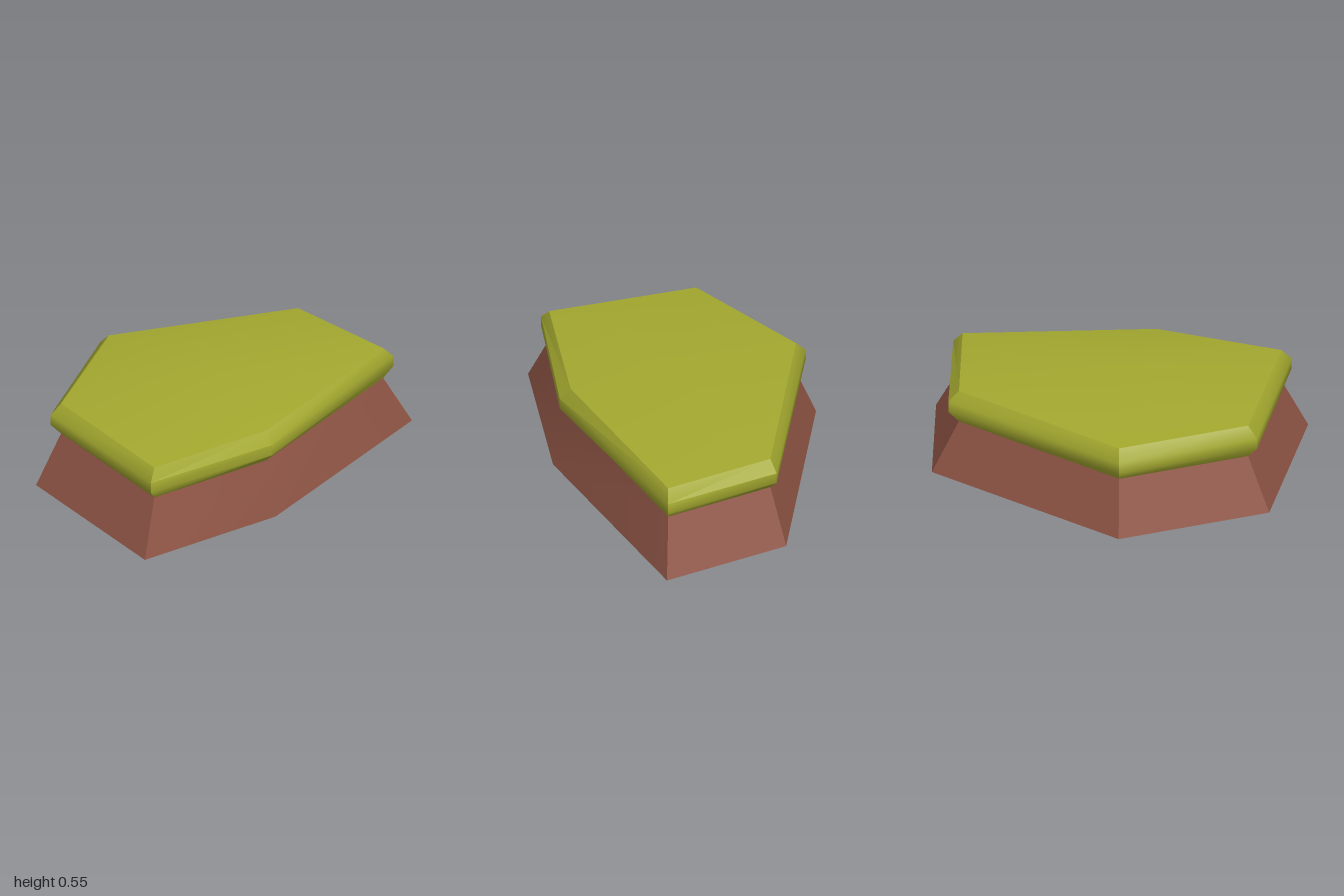
import * as THREE from 'three';
import { toCreasedNormals } from 'three/addons/utils/BufferGeometryUtils.js';

// Six-sided ground outline (x, z) and the centre it tapers towards
const outline = [[-1, -0.16], [-0.42, -0.73], [0.73, -0.53], [1, 0.09], [-0.02, 0.63], [-0.8, 0.725]];
const centre = [-0.09, 0];

// Lofts the outline through rings of [scale, radial offset, height]; scale 0 closes to a point
function loft(rings, crease) {
  const point = ([scale, out, y], i) => {
    const [x, z] = outline[i % outline.length];
    const dx = x - centre[0], dz = z - centre[1];
    const k = scale + out / Math.hypot(dx, dz);
    return [centre[0] + dx * k, y, centre[1] + dz * k];
  };
  const pos = [];
  for (let r = 0; r < rings.length - 1; r++) {
    for (let i = 0; i < outline.length; i++) {
      const a = point(rings[r], i), b = point(rings[r], i + 1);
      const c = point(rings[r + 1], i), d = point(rings[r + 1], i + 1);
      if (rings[r][0] > 0) pos.push(...a, ...c, ...b);
      if (rings[r + 1][0] > 0) pos.push(...b, ...c, ...d);
    }
  }
  const geometry = new THREE.BufferGeometry();
  geometry.setAttribute('position', new THREE.Float32BufferAttribute(pos, 3));
  return toCreasedNormals(geometry, THREE.MathUtils.degToRad(crease));
}

export function createModel() {
  const group = new THREE.Group();
  group.name = 'grassyPlatform';
  const earth = new THREE.MeshStandardMaterial({ color: 0x8f5545 });
  earth.name = 'earth brown';
  const grass = new THREE.MeshStandardMaterial({ color: 0xa3a82f });
  grass.name = 'grass green';

  const add = (name, geometry, material) => {
    const mesh = new THREE.Mesh(geometry, material);
    mesh.name = name;
    group.add(mesh);
  };

  // Tapered earth base with a flat underside
  add('earthBase', loft([[0, 0, 0], [1, 0, 0], [0.857, 0, 0.29]], 35), earth);

  // Grass slab: bulging rim, then a shallow peak
  add('grassRim', loft([
    [0, 0, 0.29], [0.857, 0, 0.29], [0.857, 0.055, 0.35],
    [0.857, 0.055, 0.41], [0.857, 0, 0.47],
  ], 42), grass);
  add('grassTop', loft([[0.857, 0, 0.47], [0, 0, 0.553]], 40), grass);
  return group;
}
